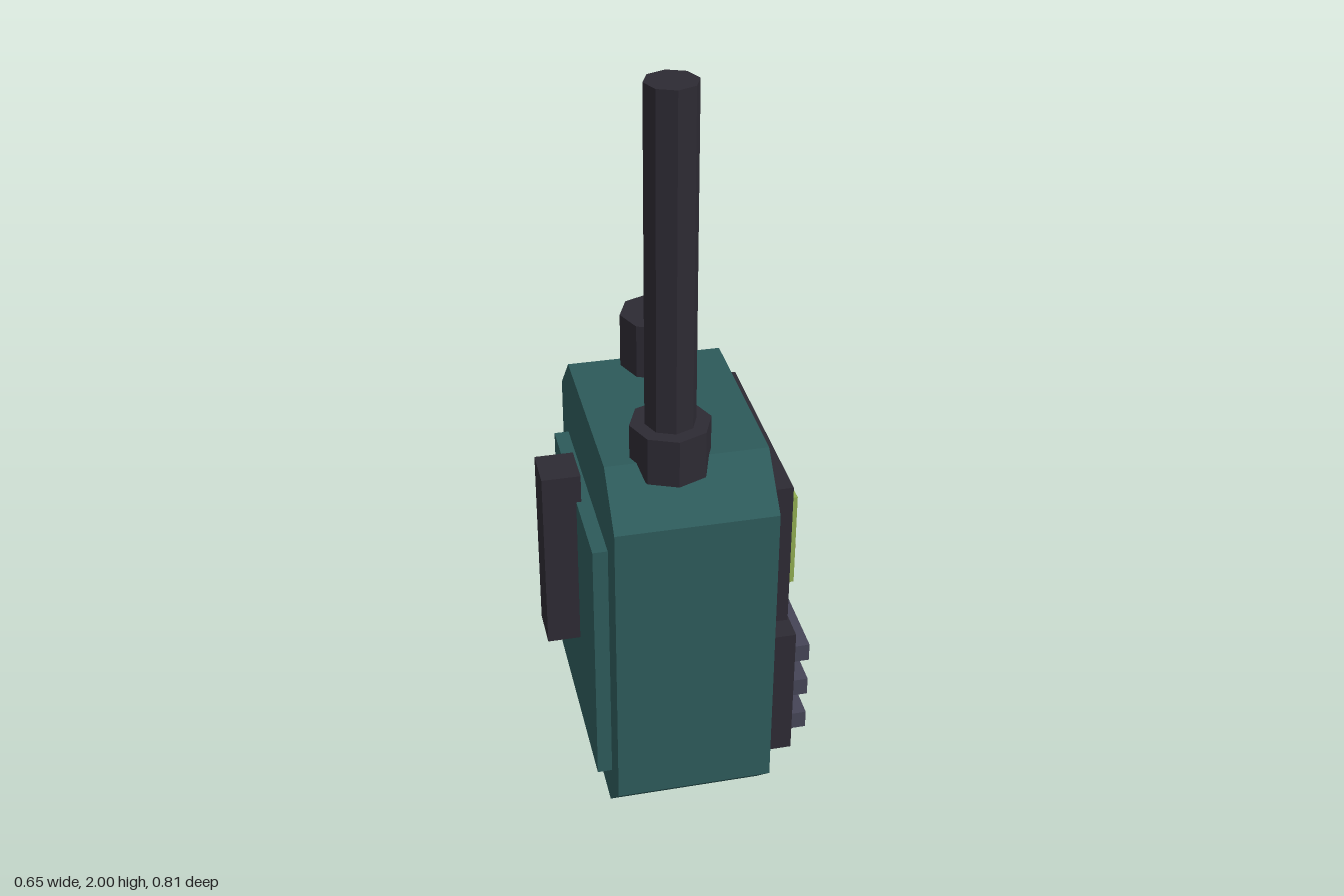
import * as THREE from 'three';

const mat = (color) => new THREE.MeshStandardMaterial({ color, flatShading: true });

export function createModel() {
  const group = new THREE.Group();
  group.name = 'handheldRadio';
  const teal = mat(0x2d5a5a), dark = mat(0x2d2a33), slate = mat(0x454456);
  const green = mat(0x8fab4f), tan = mat(0xb98a55), pale = mat(0xd8d0c4);

  const add = (name, geometry, material) => {
    const mesh = new THREE.Mesh(geometry, material);
    mesh.name = name;
    group.add(mesh);
    return mesh;
  };
  // Box given by its extents along each axis
  const box = (name, material, [x0, x1], [y0, y1], [z0, z1]) =>
    add(name, new THREE.BoxGeometry(x1 - x0, y1 - y0, z1 - z0), material)
      .position.set((x0 + x1) / 2, (y0 + y1) / 2, (z0 + z1) / 2);
  // Upright eight-sided post
  const post = (name, radius, y0, y1, x, z) =>
    add(name, new THREE.CylinderGeometry(radius, radius, y1 - y0, 8), dark)
      .position.set(x, (y0 + y1) / 2, z);

  // Body: chamfered profile in the z-y plane, extruded across x
  const profile = new THREE.Shape([
    [-0.285, 0], [0.212, 0], [0.33, 0.12], [0.33, 0.945],
    [0.212, 1.065], [-0.285, 1.065], [-0.403, 0.945], [-0.403, 0.12],
  ].map(([a, b]) => new THREE.Vector2(a, b)));
  const body = new THREE.ExtrudeGeometry(profile, { depth: 0.404, bevelEnabled: false });
  body.translate(0, 0, -0.202).rotateY(Math.PI / 2);
  add('body', body, teal);

  // Display
  box('displayBezel', dark, [0.19, 0.257], [0.56, 0.965], [-0.247, 0.323]);
  box('displayScreen', green, [0.24, 0.287], [0.633, 0.893], [-0.19, 0.264]);
  box('displayLine', pale, [0.28, 0.301], [0.705, 0.721], [-0.153, 0.225]);

  // Speaker grille
  box('speakerPanel', dark, [0.19, 0.281], [0.13, 0.51], [-0.253, 0.327]);
  for (let i = 0; i < 3; i++) {
    const y = 0.207 + i * 0.114;
    box('speakerBar' + (i + 1), slate, [0.26, 0.323], [y - 0.025, y + 0.025], [-0.242, 0.314]);
  }

  // Side button
  box('talkButton', tan, [-0.125, 0.128], [0.535, 0.79], [-0.405, -0.31]);

  // Battery cover and belt clip
  box('batteryCover', teal, [-0.24, -0.19], [0.13, 0.84], [-0.242, 0.314]);
  box('beltClip', dark, [-0.326, -0.227], [0.407, 0.917], [-0.02, 0.092]);

  // Antenna and knob
  post('antennaBase', 0.1, 1.03, 1.155, -0.035, 0.257);
  post('antenna', 0.063, 1.1, 2, -0.035, 0.257);
  post('volumeKnob', 0.098, 1.05, 1.212, 0.028, -0.18);

  return group;
}
